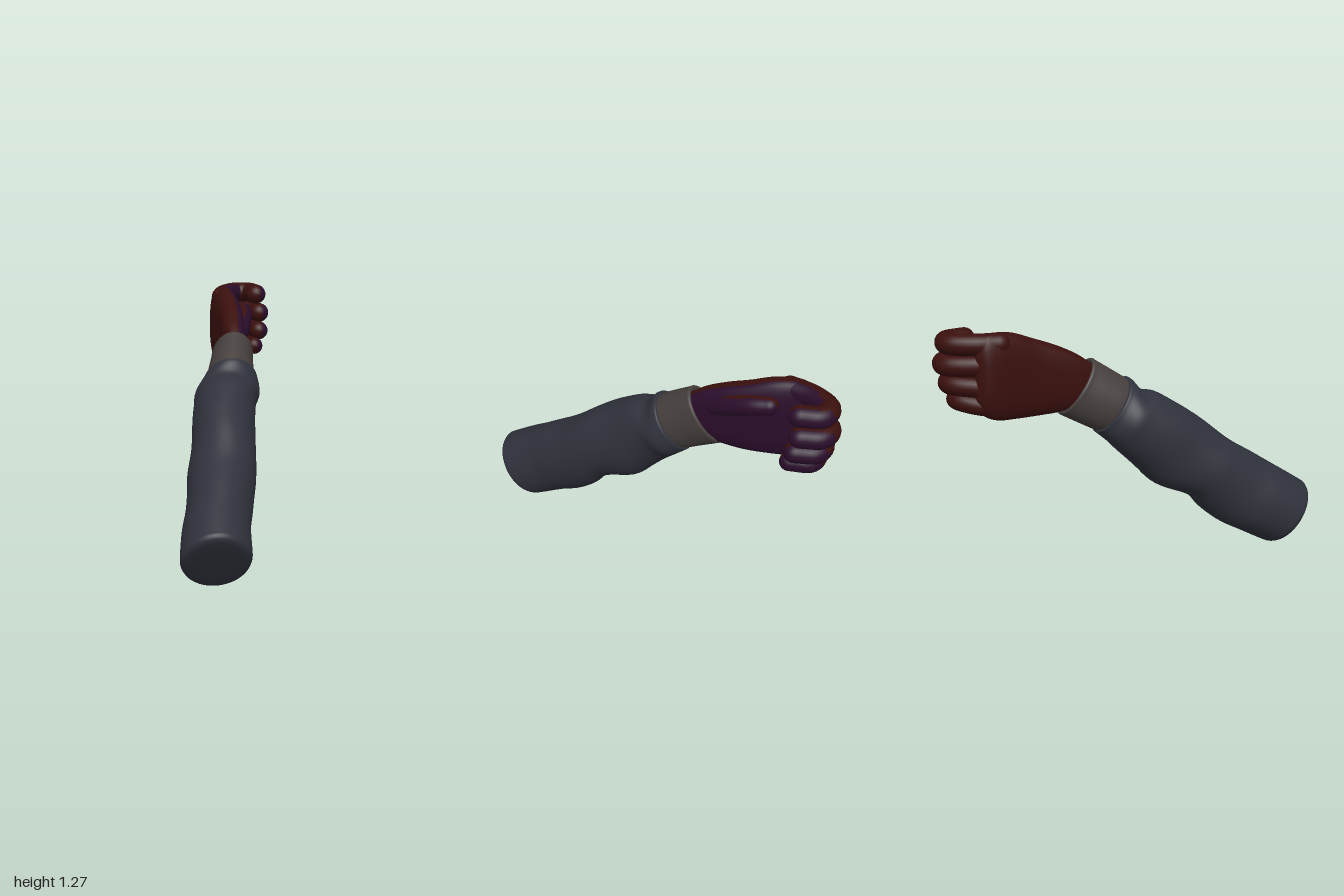
import * as THREE from 'three';

const mat = (name, color) => {
  const m = new THREE.MeshStandardMaterial({ color });
  m.name = name;
  return m;
};

// Smooth row-wise interpolation through a list of section rows
function smoothRows(rows, steps) {
  const out = [];
  const at = (i) => rows[Math.max(0, Math.min(rows.length - 1, i))];
  for (let i = 0; i < rows.length - 1; i++) {
    for (let k = 0; k < steps; k++) {
      const t = k / steps, t2 = t * t, t3 = t2 * t;
      out.push(rows[i].map((p1, c) => {
        const p0 = at(i - 1)[c], p2 = at(i + 1)[c], p3 = at(i + 2)[c];
        return 0.5 * (2 * p1 + (p2 - p0) * t + (2 * p0 - 5 * p1 + 4 * p2 - p3) * t2
          + (3 * p1 - p0 - 3 * p2 + p3) * t3);
      }));
    }
  }
  out.push(at(rows.length - 1));
  return out;
}

// Skin a list of rings and close both ends
function loft(rings) {
  const n = rings[0].length, pos = [], index = [];
  rings.forEach((r) => r.forEach((p) => pos.push(p.x, p.y, p.z)));
  for (let i = 0; i < rings.length - 1; i++) {
    for (let j = 0; j < n; j++) {
      const a = i * n + j, b = i * n + (j + 1) % n;
      index.push(a, b, a + n, b, b + n, a + n);
    }
  }
  [0, rings.length - 1].forEach((r, end) => {
    const c = new THREE.Vector3();
    rings[r].forEach((p) => c.addScaledVector(p, 1 / n));
    const id = pos.length / 3;
    pos.push(c.x, c.y, c.z);
    for (let j = 0; j < n; j++) {
      const a = r * n + j, b = r * n + (j + 1) % n;
      if (end) index.push(a, b, id); else index.push(b, a, id);
    }
  });
  const g = new THREE.BufferGeometry();
  g.setAttribute('position', new THREE.Float32BufferAttribute(pos, 3));
  g.setIndex(index);
  g.computeVertexNormals();
  return g;
}

// Rows are [distance, top, bottom, xMin, xMax] along a direction in the yz plane
function sectionLoft(rows, origin, along, up, { power = 1, wave = () => 0, steps = 6, sides = 56 } = {}) {
  const round = (v) => Math.sign(v) * Math.abs(v) ** power;
  return loft(smoothRows(rows, steps).map(([s, top, bottom, x0, x1]) => {
    const ring = [];
    for (let j = 0; j < sides; j++) {
      const a = j / sides * Math.PI * 2, k = 1 + wave(s, a);
      const h = (top + bottom) / 2 + (top - bottom) / 2 * k * round(Math.sin(a));
      const p = origin.clone().addScaledVector(along, s).addScaledVector(up, h);
      p.x = (x0 + x1) / 2 - (x1 - x0) / 2 * k * round(Math.cos(a));
      ring.push(p);
    }
    return ring;
  }));
}

// Rounded finger: tapered tube with hemispherical ends
function digit(points, r0, r1) {
  const curve = new THREE.CatmullRomCurve3(points.map((p) => new THREE.Vector3(...p)));
  const stations = [], N = 28, Q = 6;
  for (let k = 0; k < Q; k++) {
    const a = (k + 0.3) / Q * Math.PI / 2;
    stations.push([0, -Math.cos(a) * r0, Math.sin(a) * r0]);
  }
  for (let k = 0; k <= N; k++) stations.push([k / N, 0, r0 + (r1 - r0) * k / N]);
  for (let k = Q - 1; k >= 0; k--) {
    const a = (k + 0.3) / Q * Math.PI / 2;
    stations.push([1, Math.cos(a) * r1, Math.sin(a) * r1]);
  }
  return loft(stations.map(([u, push, r]) => {
    const t = curve.getTangentAt(u);
    const v = new THREE.Vector3(0, 1, 0).addScaledVector(t, -t.y).normalize();
    const w = v.clone().cross(t);
    const c = curve.getPointAt(u).addScaledVector(t, push);
    return Array.from({ length: 24 }, (_, j) => {
      const a = j / 24 * Math.PI * 2;
      return c.clone().addScaledVector(w, r * Math.cos(a)).addScaledVector(v, r * Math.sin(a));
    });
  }));
}

// Two-tone glove: faces turned toward the palm side use the second material
function splitPalm(g) {
  const p = g.attributes.position, idx = g.index.array, back = [], palm = [];
  const [a, b, c] = [0, 1, 2].map(() => new THREE.Vector3());
  const tri = new THREE.Triangle(a, b, c), n = new THREE.Vector3();
  for (let i = 0; i < idx.length; i += 3) {
    [a, b, c].forEach((v, k) => v.fromBufferAttribute(p, idx[i + k]));
    (tri.getNormal(n).x > 0.32 ? palm : back).push(idx[i], idx[i + 1], idx[i + 2]);
  }
  g.setIndex([...back, ...palm]);
  g.addGroup(0, back.length, 0);
  g.addGroup(back.length, palm.length, 1);
  return g;
}

export function createModel() {
  const model = new THREE.Group();
  model.name = 'gloved arm';
  const sleeveMat = mat('slate sleeve cloth', 0x30323c);
  const cuffMat = mat('grey brown cuff', 0x453f3d);
  const glove = [mat('dark red glove', 0x3a100d), mat('dark purple palm', 0x2a0d2b)];
  const add = (name, geometry, material, parent = model) => {
    const m = new THREE.Mesh(geometry, material);
    m.name = name;
    parent.add(m);
  };

  // Forearm axis
  const elbow = new THREE.Vector3(0, 0.16, 0.89);
  const along = new THREE.Vector3(0, 0.569, -0.822);
  const up = new THREE.Vector3(0, 0.822, 0.569);

  // Sleeve with soft diagonal folds
  add('sleeve', sectionLoft([
    [-0.012, 0.09, -0.09, -0.25, -0.07],
    [-0.008, 0.165, -0.165, -0.31, -0.01],
    [0.012, 0.19, -0.19, -0.33, 0.01],
    [0.05, 0.192, -0.2, -0.33, 0.015],
    [0.2, 0.187, -0.218, -0.31, 0.025],
    [0.32, 0.182, -0.23, -0.285, 0.05],
    [0.465, 0.178, -0.222, -0.262, 0.075],
    [0.58, 0.18, -0.2, -0.25, 0.09],
    [0.77, 0.188, -0.23, -0.22, 0.115],
    [0.91, 0.195, -0.215, -0.2, 0.12],
    [1.03, 0.185, -0.192, -0.185, 0.14],
    [1.11, 0.153, -0.172, -0.175, 0.17],
    [1.18, 0.172, -0.164, -0.13, 0.166],
    [1.205, 0.166, -0.157, -0.115, 0.156],
    [1.2, 0.12, -0.12, -0.08, 0.11],
  ], elbow, along, up, {
    wave: (s, a) => 0.022 * Math.sin(2 * a + s * 15)
      * THREE.MathUtils.smoothstep(s, 0.15, 0.6) * (1 - THREE.MathUtils.smoothstep(s, 1.02, 1.16)),
  }), sleeveMat);

  // Shirt cuff with a turned-in rim
  add('cuff', sectionLoft([
    [1.12, 0.14, -0.13, -0.1, 0.13],
    [1.2, 0.16, -0.152, -0.105, 0.15],
    [1.3, 0.16, -0.165, -0.085, 0.156],
    [1.39, 0.158, -0.175, -0.062, 0.164],
    [1.418, 0.157, -0.177, -0.057, 0.165],
    [1.424, 0.142, -0.162, -0.045, 0.152],
    [1.4, 0.12, -0.14, -0.02, 0.13],
  ], elbow, along, up), cuffMat);

  const hand = new THREE.Group();
  hand.name = 'hand';
  model.add(hand);

  // Palm and wrist, flattened across x
  add('palm', splitPalm(sectionLoft([
    [0.18, 1.06, 0.84, 0.01, 0.12],
    [0.27, 1.125, 0.84, 0.0, 0.13],
    [0.38, 1.18, 0.83, 0.0, 0.145],
    [0.5, 1.225, 0.825, 0.0, 0.15],
    [0.62, 1.268, 0.826, -0.01, 0.14],
    [0.72, 1.28, 0.832, -0.018, 0.125],
    [0.79, 1.27, 0.86, -0.01, 0.12],
    [0.83, 1.22, 0.92, 0.03, 0.1],
  ], new THREE.Vector3(), new THREE.Vector3(0, 0, -1), new THREE.Vector3(0, 1, 0),
  { power: 0.75 })), glove);

  // Thumb resting against the palm
  add('thumb', splitPalm(digit([
    [0.085, 1.06, -0.34], [0.125, 1.11, -0.45], [0.148, 1.145, -0.55], [0.145, 1.16, -0.63],
  ], 0.062, 0.046)), glove);

  // Curled fingers: [name, base y, tip y, x shift, z shift, radius]
  [
    ['index finger', 1.223, 1.224, -0.02, 0.005, 0.057],
    ['middle finger', 1.118, 1.115, 0, -0.008, 0.056],
    ['ring finger', 1.0, 1.014, -0.005, 0.015, 0.054],
    ['little finger', 0.895, 0.93, -0.035, 0.045, 0.05],
  ].forEach(([name, y0, y1, dx, dz, r]) => {
    const path = [[0.045, -0.7], [0.085, -0.83], [0.165, -0.932], [0.24, -0.92], [0.276, -0.815]];
    const pts = path.map(([x, z], i) => [
      x + dx * i / 4, y0 + (y1 - y0) * Math.min(1, i / 2), z + dz * Math.min(1, i / 2)]);
    add(name, splitPalm(digit(pts, r, r * 0.97)), glove, hand);
  });

  return model;
}
